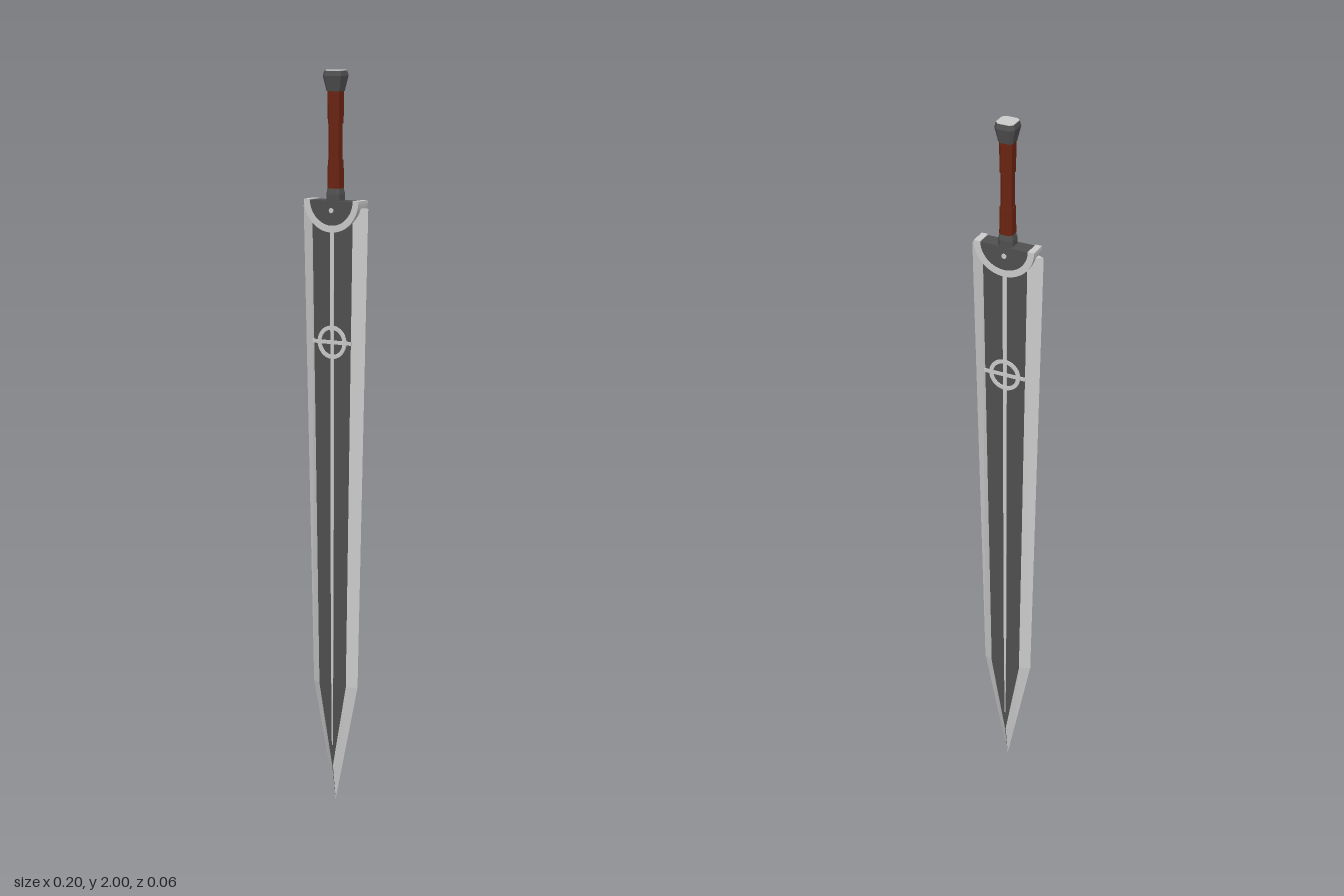
import * as THREE from 'three';

const mat = (color) => new THREE.MeshStandardMaterial({ color, flatShading: true, side: THREE.DoubleSide });

export function createModel() {
  const model = new THREE.Group();
  const steel = mat(0xcccccc), dark = mat(0x505050), leather = mat(0x6b2412);

  function add(name, geometry, material, x = 0, y = 0, z = 0) {
    const mesh = new THREE.Mesh(geometry, material);
    mesh.name = name;
    mesh.position.set(x, y, z);
    model.add(mesh);
    return mesh;
  }

  // Extrudes a flat shape evenly to both sides of z = 0
  function slab(shape, half) {
    return new THREE.ExtrudeGeometry(shape, { depth: 2 * half, bevelEnabled: false, curveSegments: 20 })
      .translate(0, 0, -half);
  }

  // Joins matching points of successive cross-sections, front and back, left and right
  function loft(sections) {
    const pos = [];
    for (const sx of [1, -1]) for (const sz of [1, -1]) {
      const flip = sx * sz < 0;
      const tri = (...pts) => (flip ? pts.reverse() : pts)
        .forEach(([x, y, z]) => pos.push(x * sx, y, z * sz));
      for (let i = 0; i < sections.length - 1; i++) {
        const [a, b] = sections[i], [c, d] = sections[i + 1];
        tri(a, c, d);
        tri(a, d, b);
      }
    }
    const g = new THREE.BufferGeometry();
    g.setAttribute('position', new THREE.Float32BufferAttribute(pos, 3));
    g.computeVertexNormals();
    return g;
  }

  // Blade sections: height, half width, core half width, core thickness, ridge thickness
  const blade = [
    [1.64, 0.102, 0.064, 0.016, 0.017],
    [0.33, 0.071, 0.043, 0.016, 0.017],
    [0.10, 0.0215, 0.001, 0.016, 0.016],
    [0.0, 0, 0, 0, 0],
  ];
  add('bladeEdges', loft(blade.map(([y, w, c, t]) => [[c, y, t], [w, y, 0]])), steel);
  add('bladeCore', loft(blade.map(([y, , c, t, r]) => [[0, y, r], [c, y, t]])), dark);

  // Closed top of the blade
  const [topY, topW, topC, topT] = blade[0];
  const cap = new THREE.Shape([
    [topW, 0], [topC, topT], [-topC, topT], [-topW, 0], [-topC, -topT], [topC, -topT],
  ].map(([x, z]) => new THREE.Vector2(x, z)));
  add('bladeTop', new THREE.ShapeGeometry(cap).rotateX(-Math.PI / 2), steel, 0, topY);

  // Tapering inlay along the middle of the blade
  const line = new THREE.Shape([
    [-0.006, 1.6], [-0.004, 0.47], [-0.001, 0.16], [0.001, 0.16], [0.004, 0.47], [0.006, 1.6],
  ].map(([x, y]) => new THREE.Vector2(x, y)));
  add('centreInlay', slab(line, 0.0185), steel);

  // Ring and crossbar inlay
  const ring = new THREE.Shape().absarc(0, 0, 0.045, 0, Math.PI * 2);
  ring.holes.push(new THREE.Path().absarc(0, 0, 0.034, 0, Math.PI * 2, true));
  add('ringInlay', slab(ring, 0.02), steel, 0, 1.28);
  add('crossbarInlay', new THREE.BoxGeometry(0.122, 0.01, 0.039), steel, 0, 1.28);

  // Half-round guard with a raised rim
  const rim = new THREE.Shape();
  rim.absarc(0, 0, 0.086, Math.PI, Math.PI * 2);
  rim.absarc(0, 0, 0.068, Math.PI * 2, Math.PI, true);
  add('guardRim', slab(rim, 0.0235), steel, 0, 1.66);
  const plate = new THREE.Shape().absarc(0, 0, 0.069, Math.PI, Math.PI * 2);
  add('guardPlate', slab(plate, 0.0215), dark, 0, 1.658);
  add('guardRivet', new THREE.CylinderGeometry(0.007, 0.007, 0.047, 12).rotateX(Math.PI / 2), steel, 0, 1.632);

  // Square bar with cut corners, between two heights
  function bar(name, y0, y1, r0, r1, material, cut = 0.65) {
    const g = new THREE.CylinderGeometry(r1, r0, y1 - y0, 8, 1, false, Math.PI / 8);
    const p = g.attributes.position;
    for (let i = 0; i < p.count; i++) {
      const x = p.getX(i), z = p.getZ(i), r = Math.hypot(x, z);
      const side = (v, o) => Math.sign(v) * r * (Math.abs(v) > Math.abs(o) ? 1 : cut);
      p.setXYZ(i, side(x, z), p.getY(i), side(z, x));
    }
    g.computeVertexNormals();
    add(name, g, material, 0, (y0 + y1) / 2);
  }

  // Handle, from the collar to the pommel
  bar('collar', 1.655, 1.675, 0.021, 0.021, dark);
  bar('collarNeck', 1.675, 1.69, 0.021, 0.018, dark);
  bar('gripLowerWrap', 1.69, 1.765, 0.0185, 0.0175, leather);
  bar('grip', 1.76, 1.865, 0.0155, 0.0155, leather);
  bar('gripUpperWrap', 1.86, 1.95, 0.0175, 0.0185, leather);
  bar('pommelFlare', 1.945, 1.985, 0.02, 0.0285, dark);
  bar('pommelBevel', 1.985, 1.998, 0.0285, 0.0255, dark);
  bar('pommelCap', 1.99, 2.0, 0.0245, 0.0245, steel);

  return model;
}
